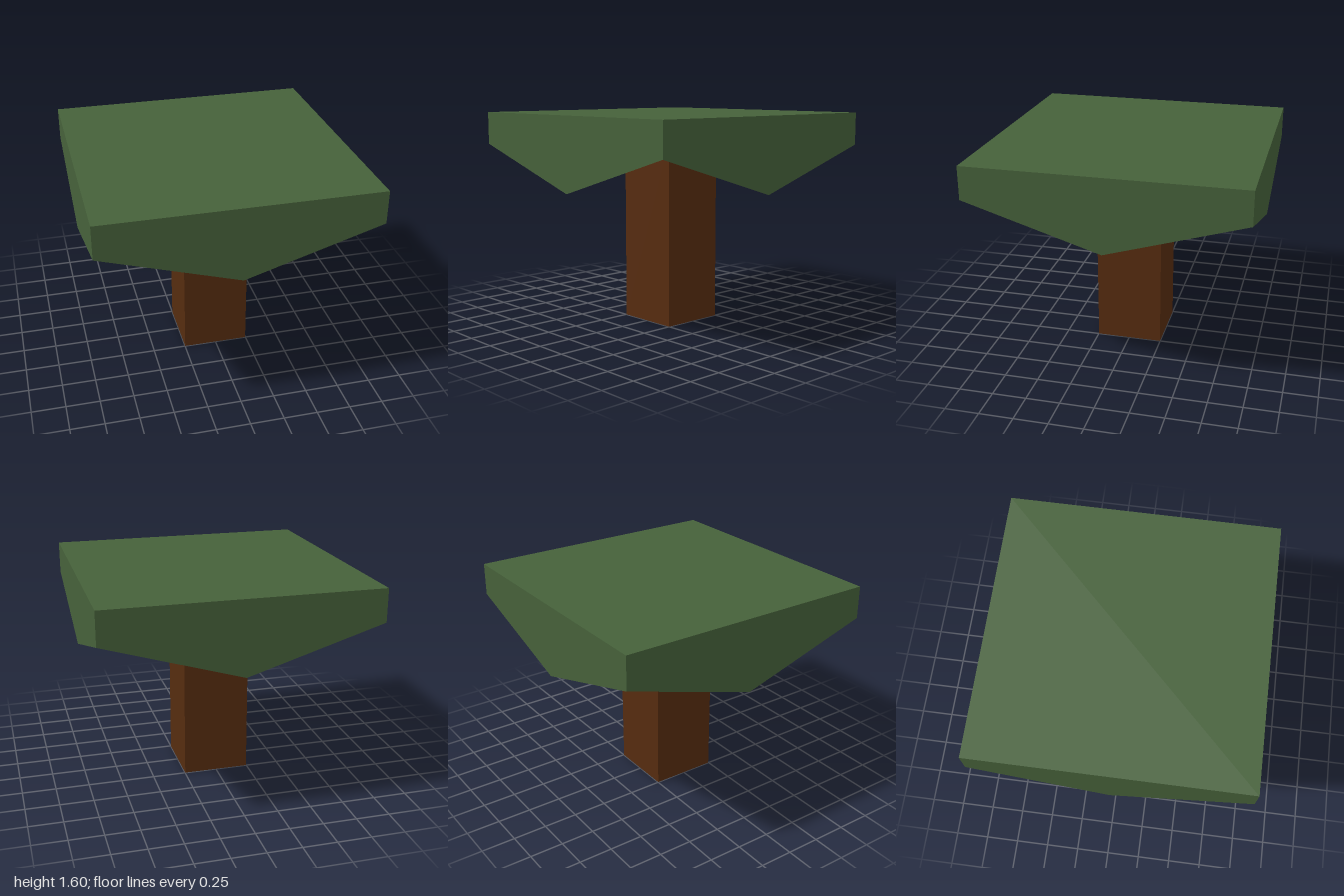
import * as THREE from 'three';

export function createModel() {
  const leaf = new THREE.MeshStandardMaterial({ color: 0x46613a, side: THREE.DoubleSide, flatShading: true });
  leaf.name = 'leaf green';
  const bark = new THREE.MeshStandardMaterial({ color: 0x562c0f, side: THREE.DoubleSide, flatShading: true });
  bark.name = 'bark brown';

  const model = new THREE.Group();
  model.name = 'tree';
  const add = (parent, name, geometry, material) => {
    const mesh = new THREE.Mesh(geometry, material);
    mesh.name = name;
    parent.add(mesh);
    return mesh;
  };

  // Hollow canopy: a flat square roof with four pointed side panels
  const canopy = new THREE.Group();
  canopy.name = 'canopy';
  model.add(canopy);

  const roof = add(canopy, 'canopyTop', new THREE.PlaneGeometry(2, 2), leaf);
  roof.rotation.x = -Math.PI / 2;
  roof.position.y = 1.6;

  const outline = [[-1, 1.6], [-1, 1.355], [0, 1.05], [1, 1.355], [1, 1.6]];
  const panel = new THREE.ShapeGeometry(new THREE.Shape(outline.map(([x, y]) => new THREE.Vector2(x, y))));
  panel.translate(0, 0, 1);
  ['front', 'left', 'back', 'right'].forEach((side, i) => {
    add(canopy, side + 'CanopyPanel', panel, leaf).rotation.y = i * Math.PI / 2;
  });

  // Square trunk, open at both ends, stopping just below the roof
  const trunkHeight = 1.41, trunkWidth = 0.496;
  const wall = new THREE.PlaneGeometry(trunkWidth, trunkHeight);
  wall.translate(0, trunkHeight / 2, trunkWidth / 2);
  const trunk = new THREE.Group();
  trunk.name = 'trunk';
  model.add(trunk);
  ['front', 'left', 'back', 'right'].forEach((side, i) => {
    add(trunk, side + 'TrunkWall', wall, bark).rotation.y = i * Math.PI / 2;
  });

  return model;
}
